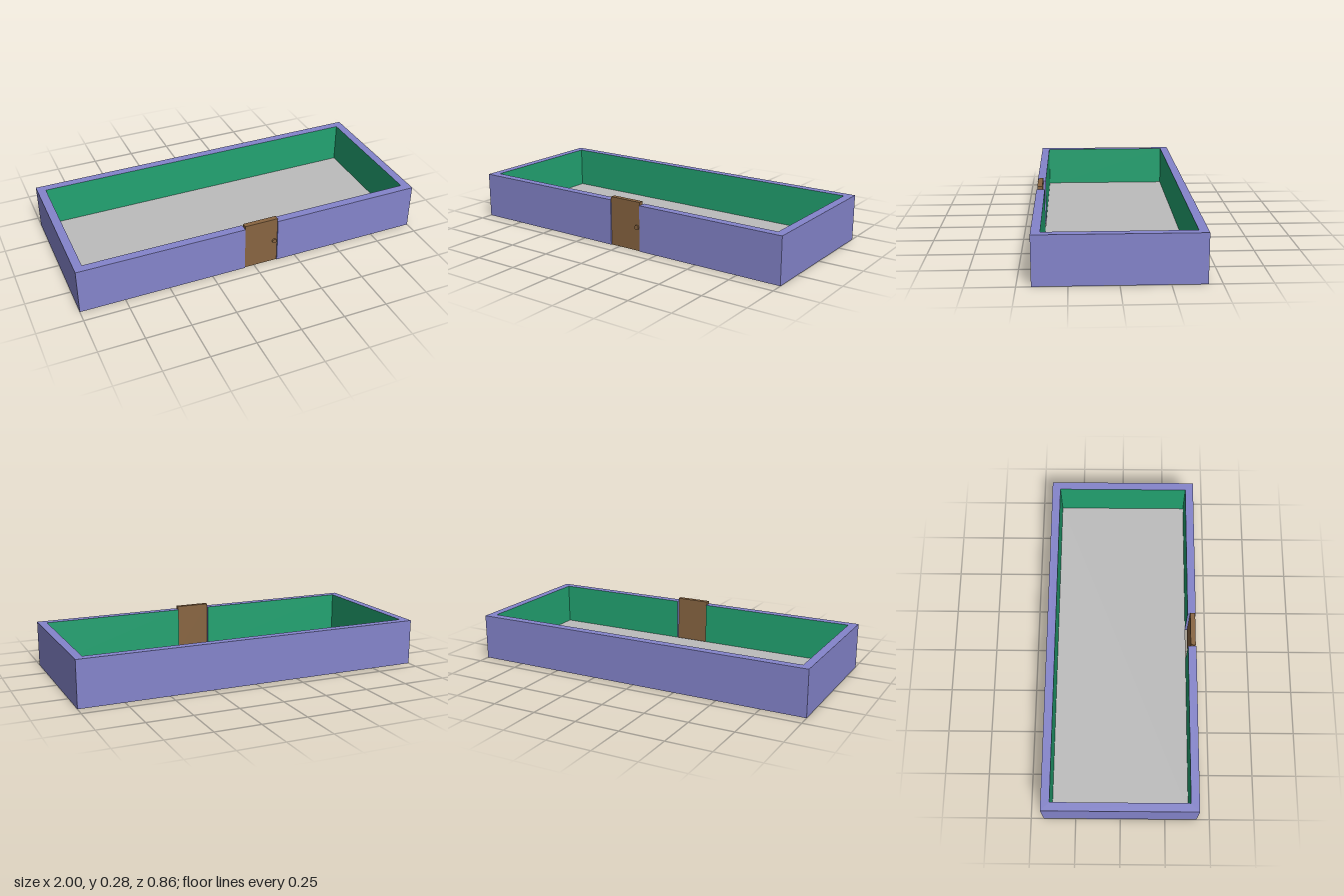
import * as THREE from 'three';

const HEIGHT = 0.26;
const FLOOR_TOP = 0.025;

function material(name, color, side = THREE.FrontSide) {
  const m = new THREE.MeshStandardMaterial({ color, side });
  m.name = name;
  return m;
}

// Upright open strip following a path of [x, z] points
function strip(path, height) {
  const pos = [];
  for (let i = 0; i < path.length - 1; i++) {
    const [ax, az] = path[i];
    const [bx, bz] = path[i + 1];
    pos.push(ax, 0, az, bx, 0, bz, bx, height, bz);
    pos.push(ax, 0, az, bx, height, bz, ax, height, az);
  }
  const g = new THREE.BufferGeometry();
  g.setAttribute('position', new THREE.Float32BufferAttribute(pos, 3));
  g.computeVertexNormals();
  return g;
}

export function createModel() {
  const model = new THREE.Group();
  model.name = 'walledRoom';
  const wallPaint = material('lavender', 0x8484cb, THREE.DoubleSide);
  const innerPaint = material('green', 0x22a371, THREE.DoubleSide);
  const floorGrey = material('lightGrey', 0xbcbcbc);
  const wood = material('brown', 0x886541);

  const add = (name, geometry, mat, x = 0, y = 0, z = 0) => {
    const mesh = new THREE.Mesh(geometry, mat);
    mesh.name = name;
    mesh.position.set(x, y, z);
    model.add(mesh);
    return mesh;
  };

  // C-shaped wall outlines, open at the doorway
  const gapL = 0.139, gapR = -0.057;
  const outline = (x, back, front) => [
    [gapL, front], [x, front], [x, back], [-x, back], [-x, front], [gapR, front],
  ];
  const outer = outline(1, -0.429, 0.427);
  const inner = outline(0.953, -0.381, 0.38);

  // Hollow walls: outside with door jambs, inside lining, flat top rim
  add('outerWalls', strip([inner[0], ...outer, inner[5]], HEIGHT), wallPaint);
  const lining = [...inner].reverse();
  add('innerWalls', strip(lining, HEIGHT), innerPaint);
  const rim = new THREE.Shape([...outer, ...lining].map(([x, z]) => new THREE.Vector2(x, -z)));
  add('wallTopRim', new THREE.ShapeGeometry(rim).rotateX(-Math.PI / 2), wallPaint, 0, HEIGHT, 0);

  // Floor slab
  add('floor', new THREE.BoxGeometry(1.907, FLOOR_TOP, 0.762), floorGrey, 0, FLOOR_TOP / 2, 0);

  // Door and its round knob
  add('door', new THREE.BoxGeometry(0.194, 0.277, 0.028), wood, 0.041, 0.1385, 0.408);
  add('doorKnob', new THREE.CylinderGeometry(0.013, 0.013, 0.009, 20).rotateX(Math.PI / 2),
    wood, 0.12, 0.134, 0.4255);

  return model;
}
